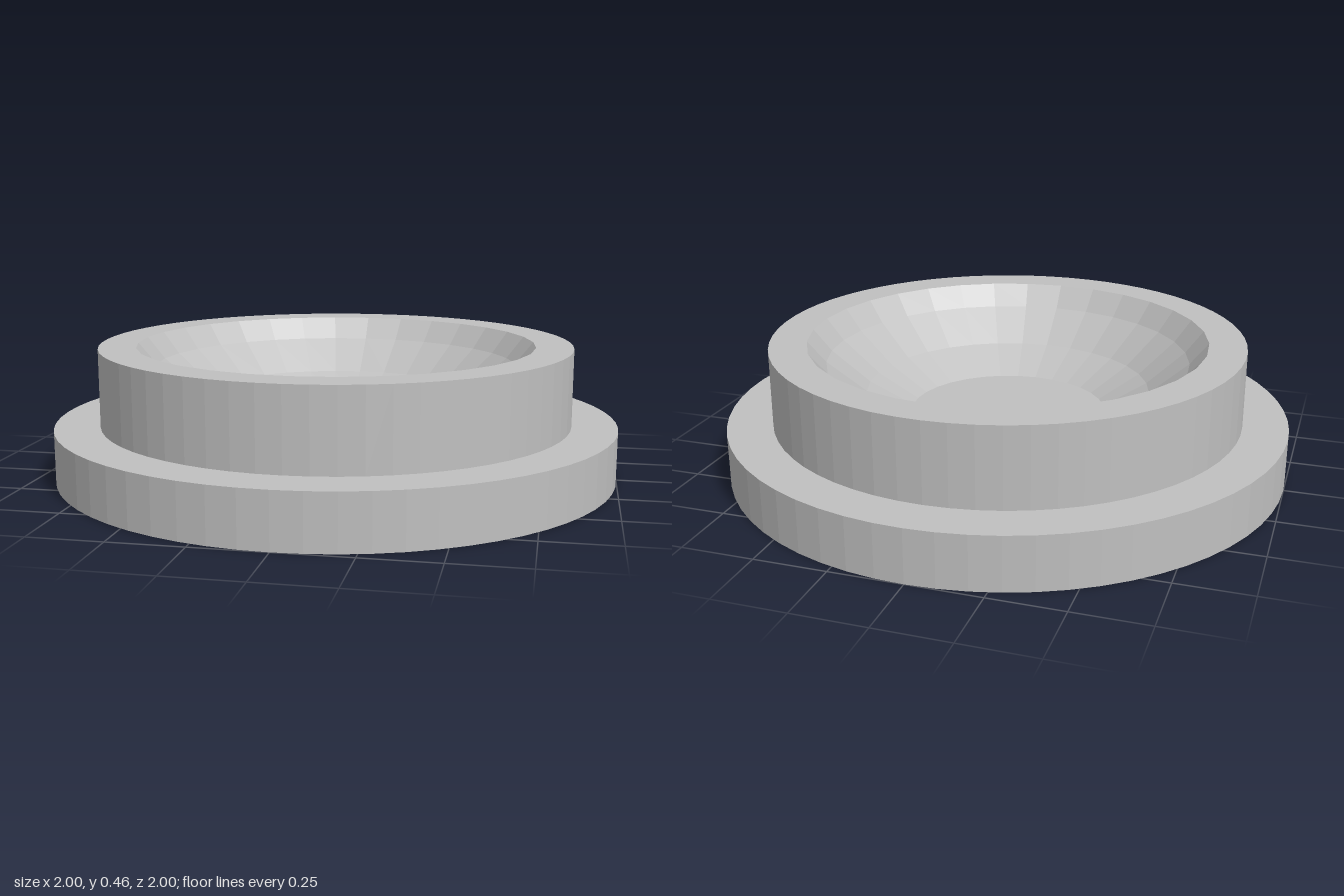
import * as THREE from 'three';

const BASE_H = 0.185, TOP = 0.46;

function circlePoints(radius, sides) {
  return Array.from({ length: sides }, (_, i) => {
    const a = (i / sides) * Math.PI * 2;
    return new THREE.Vector2(Math.cos(a) * radius, Math.sin(a) * radius);
  });
}

export function createModel() {
  const group = new THREE.Group();
  group.name = 'dishedStand';
  const grey = new THREE.MeshStandardMaterial({ color: 0xc0c0c0, flatShading: true });
  grey.name = 'plain grey';

  const add = (name, geometry, y = 0) => {
    const mesh = new THREE.Mesh(geometry, grey);
    mesh.name = name;
    mesh.position.y = y;
    group.add(mesh);
  };

  // Wide foot disc; its top is also the floor of the dish
  add('base', new THREE.CylinderGeometry(1, 1, BASE_H, 64), BASE_H / 2);

  // Upright outer wall of the raised collar
  add('collarWall', new THREE.CylinderGeometry(0.84, 0.84, TOP - BASE_H, 64, 1, true), (TOP + BASE_H) / 2);

  // Flat rim, round outside with a coarser opening
  const rim = new THREE.Shape(circlePoints(0.84, 64));
  rim.holes.push(new THREE.Path(circlePoints(0.709, 32)));
  add('rim', new THREE.ShapeGeometry(rim).rotateX(-Math.PI / 2), TOP);

  // Faceted spherical hollow, from the rim down to the floor
  const hollow = [[0.709, TOP], [0.645, 0.382], [0.507, 0.268], [0.351, BASE_H]];
  add('hollow', new THREE.LatheGeometry(hollow.map(([r, y]) => new THREE.Vector2(r, y)), 32));

  return group;
}
